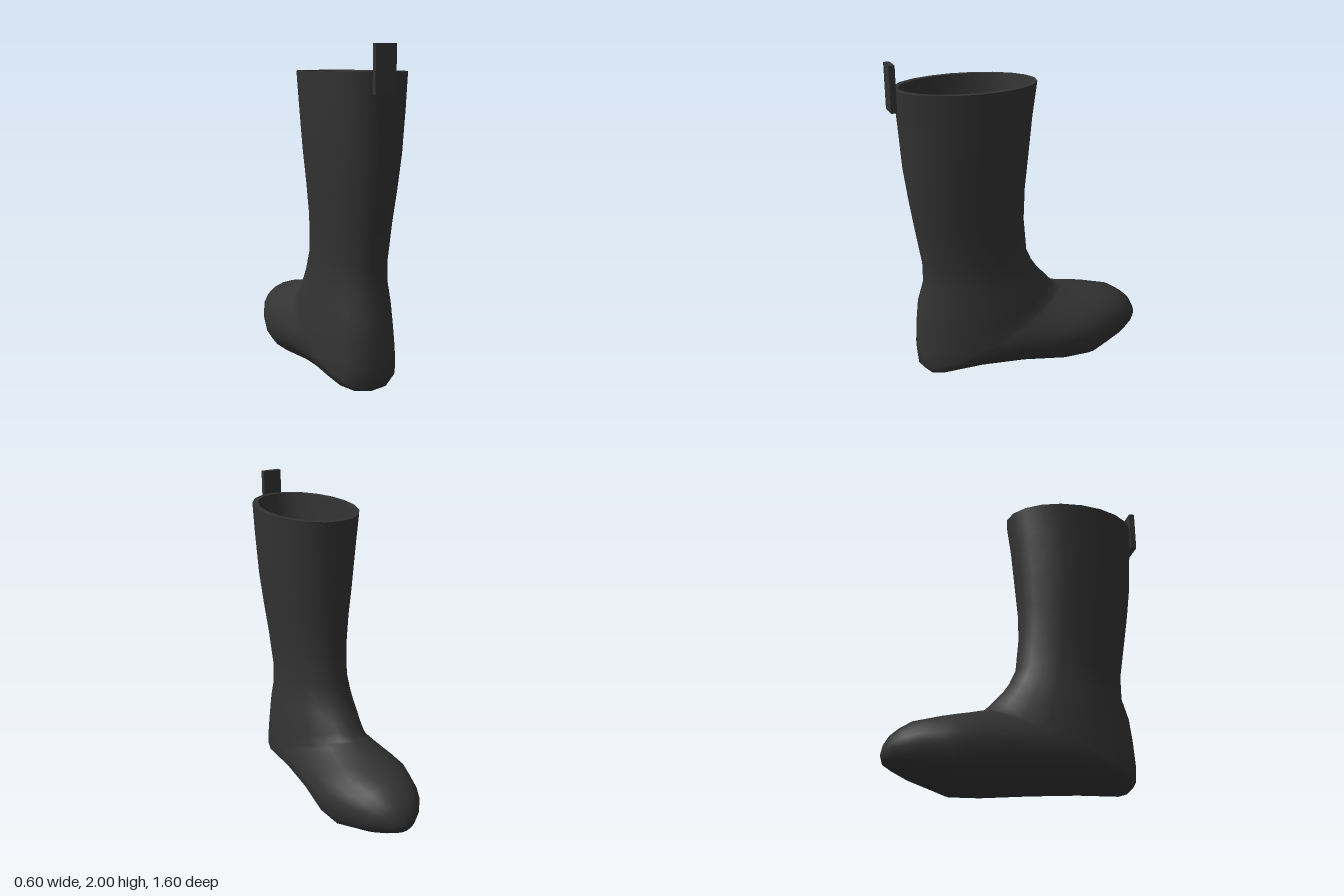
import * as THREE from 'three';

const SEG = 20;

// Cross-sections: [front z, front y, back z, back y, half width, squareness of the back/lower half].
// They run down the shaft, fan around the heel and finish at the toe.
const SHAFT = [
  [-0.08, 1.855, 0.77, 1.855, 0.29, 2],
  [-0.05, 1.65, 0.755, 1.65, 0.28, 2],
  [-0.025, 1.4, 0.74, 1.4, 0.262, 2],
  [-0.005, 1.2, 0.715, 1.2, 0.24, 2],
  [0, 1.0, 0.685, 1.0, 0.217, 2],
  [-0.02, 0.78, 0.65, 0.78, 0.205, 2],
  [-0.06, 0.69, 0.65, 0.63, 0.213, 2],
  [-0.1, 0.63, 0.69, 0.5, 0.225, 2],
  [-0.15, 0.575, 0.705, 0.35, 0.237, 2.1],
  [-0.18, 0.54, 0.71, 0.2, 0.243, 2.3],
];
const FOOT = [
  [-0.22, 0.5, 0.7, 0.1, 0.248, 2.5],
  [-0.25, 0.492, 0.66, 0.06, 0.252, 2.5],
  [-0.32, 0.473, 0.4, 0.045, 0.265, 2],
  [-0.4, 0.453, 0.1, 0.022, 0.287, 1.9],
  [-0.48, 0.432, -0.2, 0.004, 0.3, 2.5],
  [-0.56, 0.411, -0.38, 0, 0.272, 2.8],
  [-0.64, 0.39, -0.5, 0.035, 0.238, 2.6],
  [-0.71, 0.345, -0.62, 0.07, 0.195, 2.4],
  [-0.76, 0.3, -0.72, 0.11, 0.135, 2.2],
  [-0.788, 0.25, -0.78, 0.14, 0.075, 2],
  [-0.8, 0.19, -0.8, 0.19, 0, 2],
];

// Shrink a section towards its centre
function inset([fz, fy, bz, by, w, n], d) {
  const len = Math.hypot(fz - bz, fy - by);
  const k = d / len;
  return [fz + (bz - fz) * k, fy + (by - fy) * k, bz - (bz - fz) * k, by - (by - fy) * k, w - d, n];
}

// Skin a list of sections with smooth normals
function loft(sections) {
  const pos = [], index = [];
  sections.forEach(([fz, fy, bz, by, w, n], i) => {
    for (let j = 0; j < SEG; j++) {
      const a = (j / SEG) * Math.PI * 2;
      const e = 2 / (Math.cos(a) < 0 ? n : 2);
      const c = Math.sign(Math.cos(a)) * Math.abs(Math.cos(a)) ** e;
      const s = Math.sign(Math.sin(a)) * Math.abs(Math.sin(a)) ** e;
      pos.push(w * s, (fy + by) / 2 + ((fy - by) / 2) * c, (fz + bz) / 2 + ((fz - bz) / 2) * c);
      if (i < sections.length - 1) {
        const p = i * SEG + j, q = i * SEG + ((j + 1) % SEG);
        index.push(p, q, p + SEG, q, q + SEG, p + SEG);
      }
    }
  });
  const g = new THREE.BufferGeometry();
  g.setAttribute('position', new THREE.Float32BufferAttribute(pos, 3));
  g.setIndex(index);
  g.computeVertexNormals();
  return g;
}

export function createModel() {
  const group = new THREE.Group();
  group.name = 'boot';
  const rubber = new THREE.MeshStandardMaterial({ color: 0x333333 });
  rubber.name = 'charcoal rubber';
  const add = (name, geometry) => {
    const mesh = new THREE.Mesh(geometry, rubber);
    mesh.name = name;
    group.add(mesh);
    return mesh;
  };

  // Shaft, heel and foot in one continuous skin
  add('bootBody', loft([...SHAFT, ...FOOT]));

  // Flat rim around the opening
  add('rim', loft([inset(SHAFT[0], 0.035), SHAFT[0]]));

  // Lining, closed at the bottom by an insole
  const lining = SHAFT.map((s) => inset(s, 0.035));
  const [fz, fy, bz, by] = lining[lining.length - 1];
  const z = (fz + bz) / 2, y = (fy + by) / 2;
  lining.push([z, y, z, y, 0, 2]);
  add('lining', loft(lining.reverse()));

  // Pull tab at the back of the shaft
  add('pullTab', new THREE.BoxGeometry(0.12, 0.265, 0.035)).position.set(0, 1.8675, 0.7825);

  return group;
}
